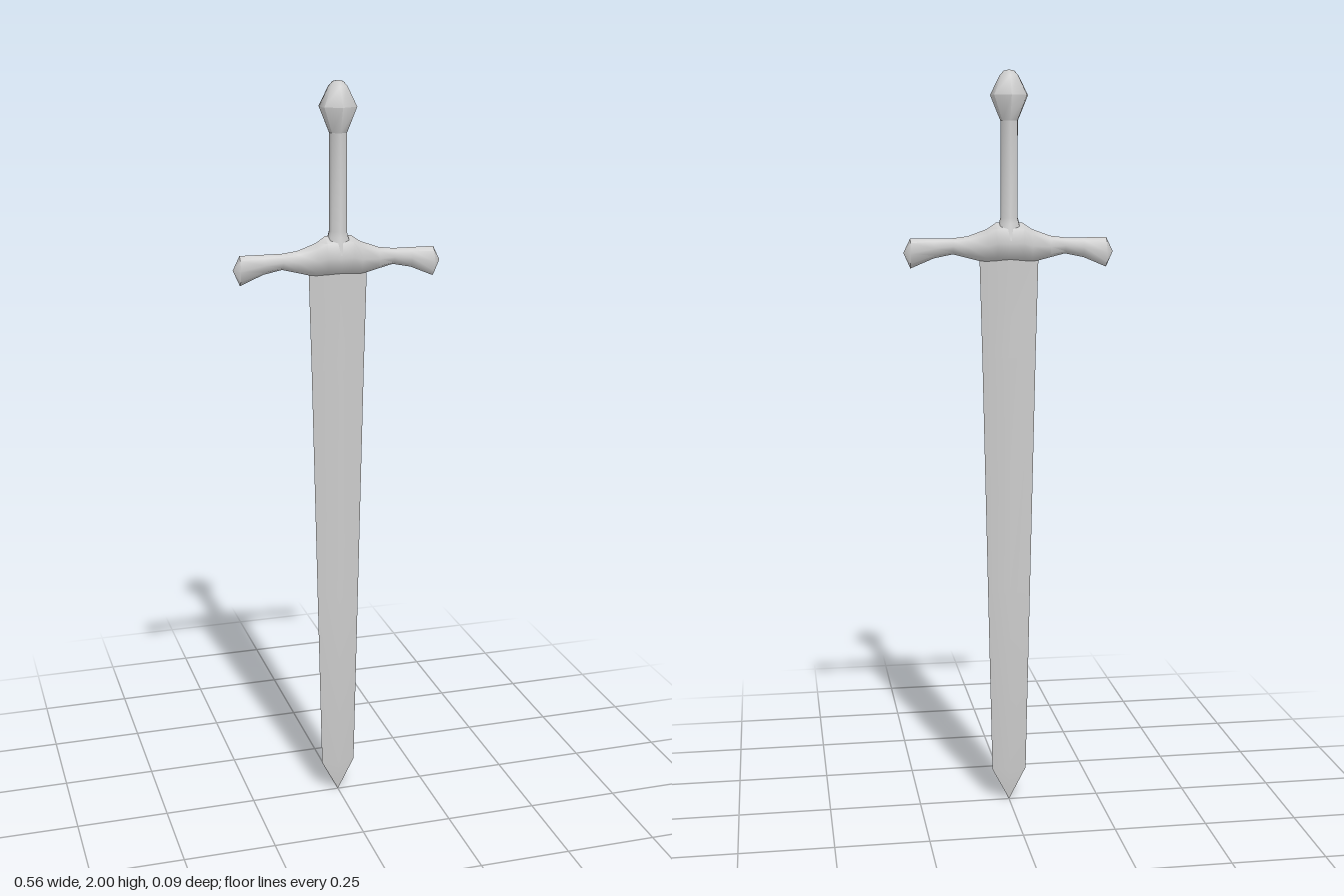
import * as THREE from 'three';
import { toCreasedNormals } from 'three/addons/utils/BufferGeometryUtils.js';

const material = new THREE.MeshStandardMaterial({ color: 0xcccccc });

// Skins a list of rings (each a loop of [x, y, z]); rings may shrink to a point.
function loft(name, rings, crease) {
  const pos = [];
  const tri = (a, b, c) => {
    const area = new THREE.Triangle(
      new THREE.Vector3(...a), new THREE.Vector3(...b), new THREE.Vector3(...c)).getArea();
    if (area > 1e-9) pos.push(...a, ...b, ...c);
  };
  for (let i = 0; i < rings.length - 1; i++) {
    const lo = rings[i], hi = rings[i + 1], n = lo.length;
    for (let j = 0; j < n; j++) {
      const k = (j + 1) % n;
      tri(lo[j], lo[k], hi[k]);
      tri(lo[j], hi[k], hi[j]);
    }
  }
  const geometry = new THREE.BufferGeometry();
  geometry.setAttribute('position', new THREE.Float32BufferAttribute(pos, 3));
  const mesh = new THREE.Mesh(toCreasedNormals(geometry, crease), material);
  mesh.name = name;
  return mesh;
}

// Unit outlines seen from above, counter-clockwise from the front (x, z)
const diamond = [[0, 1], [1, 0], [0, -1], [-1, 0]];
const octagon = [[0, 0.96], [0.86, 0.56], [1, 0], [0.86, -0.56],
  [0, -0.96], [-0.86, -0.56], [-1, 0], [-0.86, 0.56]];

// Upright part from levels of [y, half width, half depth]
const upright = (name, outline, levels, crease) => loft(name,
  levels.map(([y, w, d]) => outline.map(([x, z]) => [x * w, y, z * d])), crease);

// Cross-guard from stations of [x, top, bottom, half depth]
function guard() {
  const half = [
    [0.035, 1.607, 1.5, 0.038],
    [0.06, 1.59, 1.502, 0.029],
    [0.11, 1.572, 1.515, 0.017],
    [0.15, 1.567, 1.525, 0.017],
    [0.2, 1.567, 1.515, 0.017],
    [0.262, 1.567, 1.489, 0.017],
    [0.28, 1.53, 1.53, 0],
  ];
  const mirrored = half.map(([x, ...rest]) => [-x, ...rest]).reverse();
  const rings = [...mirrored, [0, 1.607, 1.498, 0.04], ...half].map(([x, top, bottom, d]) =>
    Array.from({ length: 8 }, (_, i) => {
      const a = (i / 8) * Math.PI * 2;
      return [x, (top + bottom) / 2 + Math.cos(a) * (top - bottom) / 2, Math.sin(a) * d];
    }));
  return loft('crossGuard', rings, 0.85);
}

export function createModel() {
  const sword = new THREE.Group();
  sword.name = 'sword';

  // Tapering diamond-section blade, point down
  sword.add(upright('blade', diamond, [
    [0, 0, 0],
    [0.09, 0.047, 0.012],
    [0.6, 0.058, 0.016],
    [1.25, 0.072, 0.021],
    [1.52, 0.079, 0.024],
  ], 0.8));

  sword.add(guard());

  // Grip, flared where it meets the guard
  sword.add(upright('grip', octagon, [
    [1.56, 0.04, 0.04],
    [1.605, 0.027, 0.029],
    [1.62, 0.023, 0.026],
    [1.88, 0.023, 0.026],
  ], 1));

  // Faceted pommel
  sword.add(upright('pommel', octagon, [
    [1.865, 0, 0],
    [1.87, 0.023, 0.026],
    [1.935, 0.05, 0.049],
    [1.985, 0.025, 0.025],
    [1.997, 0.014, 0.014],
    [2, 0, 0],
  ], 1));

  return sword;
}
